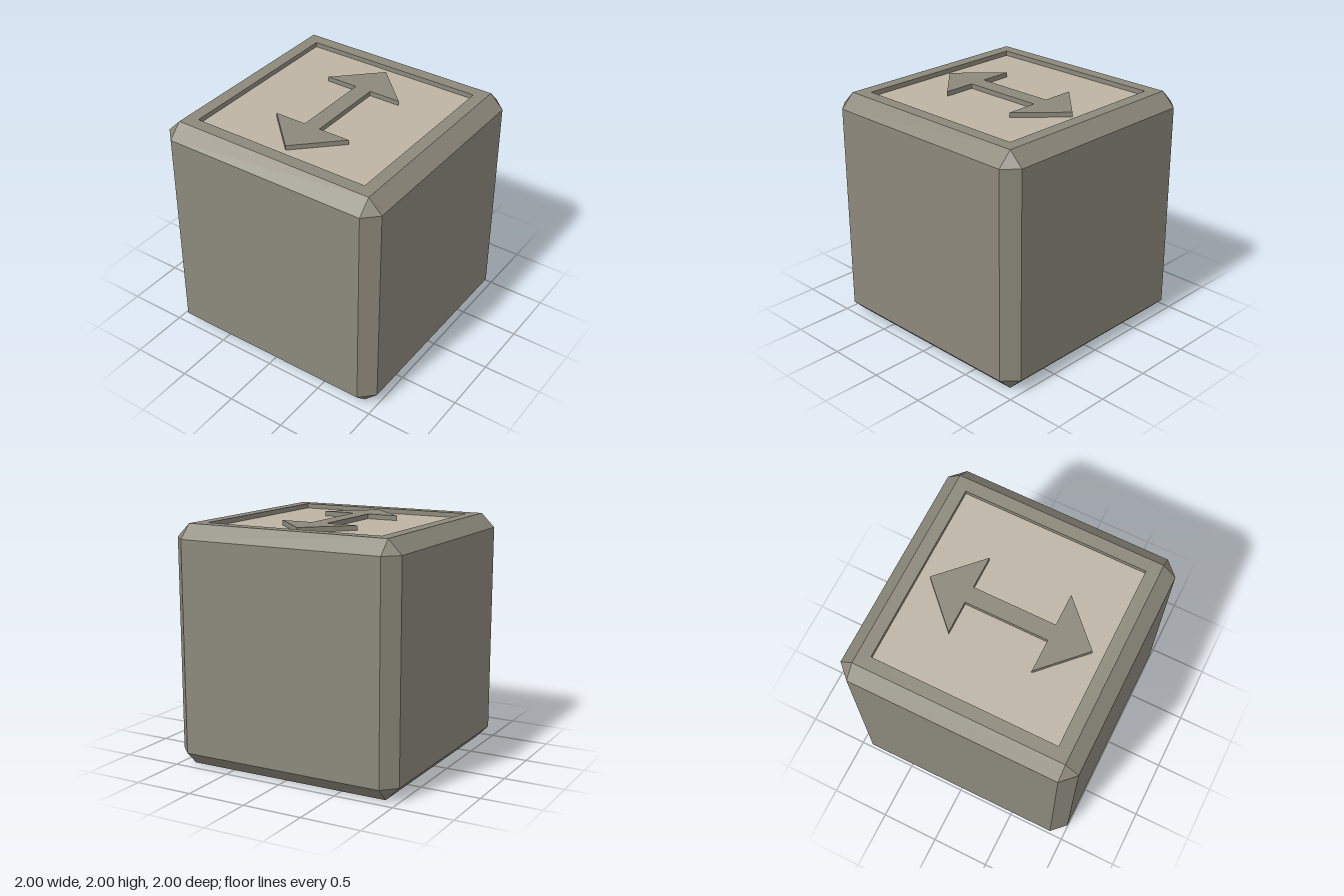
import * as THREE from 'three';

const HALF = 1, CUT = 0.885, PANEL = 0.78, TOP = 2, FLOOR = 1.96;

// Octagonal ring (a square when h equals k), counter-clockwise seen from above
function ring(y, h, k) {
  const pts = [];
  for (let q = 0; q < 4; q++) {
    for (const [a, b] of [[h, k], [k, h]]) {
      const [x, v] = [[a, b], [-b, a], [-a, -b], [b, -a]][q];
      pts.push(new THREE.Vector3(x, y, -v));
    }
  }
  return pts;
}

// Join successive rings with flat faces, skipping collapsed triangles
function skin(rings) {
  const pos = [];
  const tri = (a, b, c) => {
    if (new THREE.Triangle(a, b, c).getArea() > 1e-7) {
      for (const p of [a, b, c]) pos.push(p.x, p.y, p.z);
    }
  };
  for (let i = 0; i + 1 < rings.length; i++) {
    for (let j = 0; j < 8; j++) {
      const n = (j + 1) % 8;
      tri(rings[i][j], rings[i][n], rings[i + 1][n]);
      tri(rings[i][j], rings[i + 1][n], rings[i + 1][j]);
    }
  }
  const geo = new THREE.BufferGeometry();
  geo.setAttribute('position', new THREE.Float32BufferAttribute(pos, 3));
  geo.computeVertexNormals();
  return geo;
}

export function createModel() {
  const group = new THREE.Group();
  const stone = new THREE.MeshStandardMaterial({ color: 0x8c887b, flatShading: true });
  const pale = new THREE.MeshStandardMaterial({ color: 0xbdb4a5, flatShading: true });
  const add = (name, geo, mat) => {
    const mesh = new THREE.Mesh(geo, mat);
    mesh.name = name;
    group.add(mesh);
    return mesh;
  };

  // Chamfered block with a shallow square recess in its top
  const bevel = HALF - CUT;
  add('block', skin([
    ring(0, 0, 0),
    ring(0, CUT, CUT),
    ring(bevel, HALF, CUT),
    ring(TOP - bevel, HALF, CUT),
    ring(TOP, CUT, CUT),
    ring(TOP, PANEL, PANEL),
    ring(FLOOR, PANEL, PANEL),
  ]), stone);

  // Pale floor of the recess
  const panel = add('topPanel', new THREE.PlaneGeometry(PANEL * 2, PANEL * 2), pale);
  panel.rotation.x = -Math.PI / 2;
  panel.position.y = FLOOR;

  // Raised double-headed arrow, flush with the rim
  const half = [[0.07, -0.35], [0.345, -0.35], [0, -0.69]];
  const outline = [
    ...half.map(([x, y]) => [x, -y]),
    ...half.slice(0, 2).reverse().map(([x, y]) => [-x, -y]),
    ...half.slice(0, 2).map(([x, y]) => [-x, y]),
    ...half.slice().reverse().map(([x, y]) => [x, y]),
  ].map(([x, y]) => new THREE.Vector2(x, y));
  // The last two corners run from the lower tip back up the right side
  const arrow = add('doubleArrow', new THREE.ExtrudeGeometry(new THREE.Shape(outline),
    { depth: TOP - FLOOR, bevelEnabled: false }), stone);
  arrow.rotation.x = -Math.PI / 2;
  arrow.position.y = FLOOR;

  return group;
}
